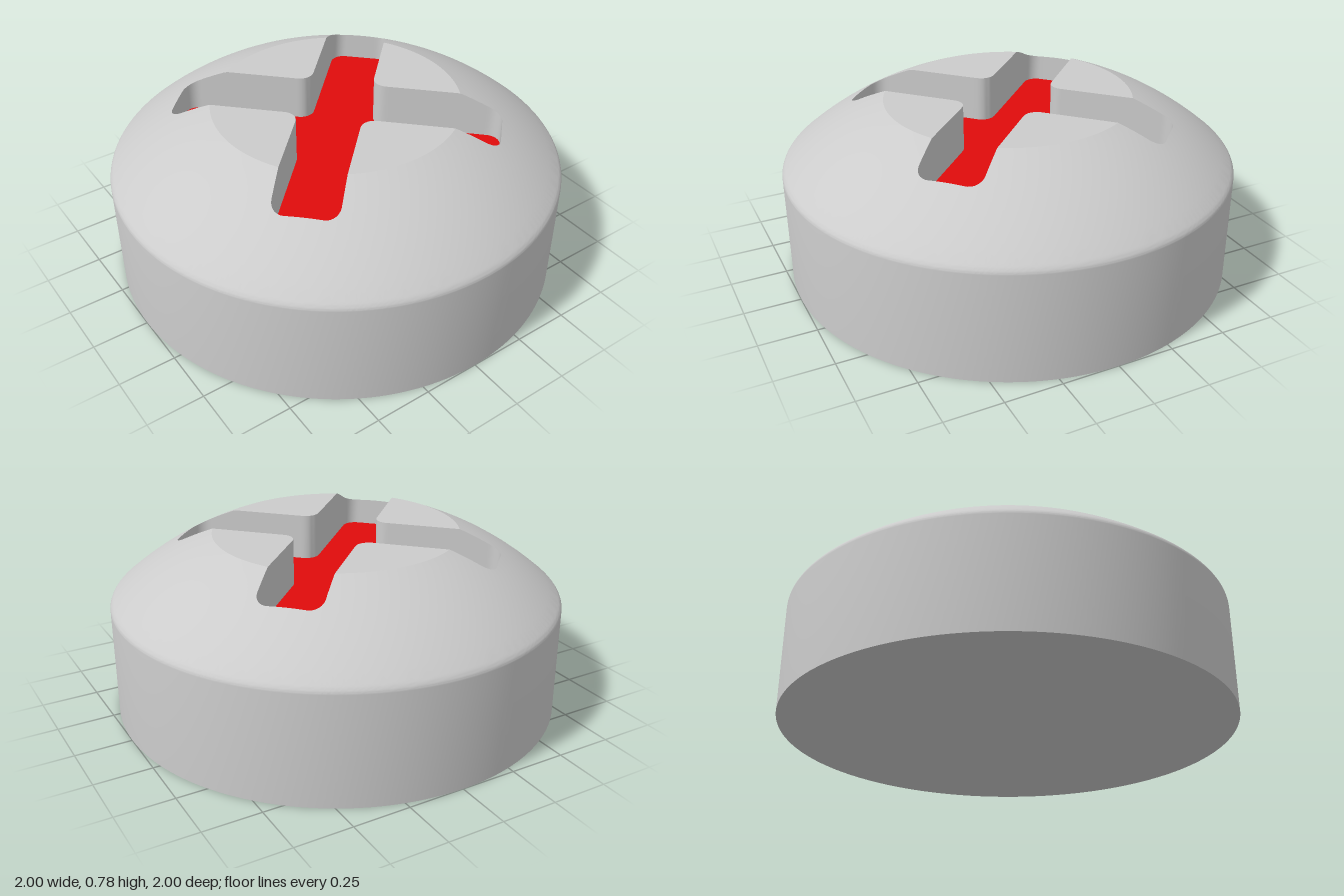
import * as THREE from 'three';
import { toCreasedNormals } from 'three/addons/utils/BufferGeometryUtils.js';

const TOP = 0.78, FLOOR = 0.575, FLAT_R = 0.545, SPHERE_R = 1.5;
const SPHERE_Y = TOP - Math.sqrt(SPHERE_R ** 2 - FLAT_R ** 2);
const domeHeight = (r) => Math.min(TOP, SPHERE_Y + Math.sqrt(SPHERE_R ** 2 - r * r));

// Four-armed cross with rounded tips and rounded inner corners
function crossOutline() {
  const length = 0.72, half = 0.138, r = 0.06;
  const shape = new THREE.Shape();
  for (let i = 0; i < 4; i++) {
    const a = Math.PI / 4 + i * Math.PI / 2, c = Math.cos(a), s = Math.sin(a);
    const arc = (u, v, from, to, clockwise) =>
      shape.absarc(u * c - v * s, u * s + v * c, r, a + from, a + to, clockwise);
    arc(length - r, r - half, -Math.PI / 2, 0, false);
    arc(length - r, half - r, 0, Math.PI / 2, false);
    arc(half + r, half + r, Math.PI * 1.5, Math.PI, true);
  }
  shape.closePath();
  return shape.getSpacedPoints(400).slice(0, -1);
}

// Skin a list of closed rings, skipping collapsed triangles
function loft(rings, crease) {
  const pos = [];
  const tri = (a, b, c) => {
    if (a.distanceTo(b) > 1e-6 && b.distanceTo(c) > 1e-6 && c.distanceTo(a) > 1e-6) {
      for (const p of [a, b, c]) pos.push(p.x, p.y, p.z);
    }
  };
  for (let k = 0; k < rings.length - 1; k++) {
    const lower = rings[k], upper = rings[k + 1], n = lower.length;
    for (let i = 0; i < n; i++) {
      const j = (i + 1) % n;
      tri(lower[i], upper[i], lower[j]);
      tri(upper[i], upper[j], lower[j]);
    }
  }
  const geometry = new THREE.BufferGeometry();
  geometry.setAttribute('position', new THREE.Float32BufferAttribute(pos, 3));
  return toCreasedNormals(geometry, crease);
}

export function createModel() {
  const group = new THREE.Group();
  const grey = new THREE.MeshStandardMaterial({ color: 0xcccccc });
  const red = new THREE.MeshStandardMaterial({ color: 0xe00b0b });
  const add = (name, geometry, material) => {
    const mesh = new THREE.Mesh(geometry, material);
    mesh.name = name;
    group.add(mesh);
  };

  const outline = crossOutline();
  const edge = outline.map((p) => ({ r: p.length(), a: Math.atan2(p.y, p.x) }));
  const point = (r, y, a) => new THREE.Vector3(r * Math.cos(a), y, -r * Math.sin(a));
  const ring = (r, y) => edge.map((e) => point(r, y, e.a));

  // Flat top and dome around the cross opening; rings never enter the slot
  const radii = [0, FLAT_R];
  for (let i = 1; i <= 10; i++) radii.push(FLAT_R + (0.98 - FLAT_R) * i / 10);
  const shell = radii.map((radius) => edge.map((e) => {
    const r = Math.max(radius, e.r);
    return point(r, domeHeight(r), e.a);
  }));

  // Softened shoulder, side wall and underside
  const shoulder = new THREE.QuadraticBezierCurve(
    new THREE.Vector2(0.98, domeHeight(0.98)),
    new THREE.Vector2(1, domeHeight(1)),
    new THREE.Vector2(1, 0.485));
  for (const p of shoulder.getPoints(6).slice(1)) shell.push(ring(p.x, p.y));
  shell.push(ring(1, 0), ring(0, 0));
  add('domedBody', loft(shell, 0.3), grey);

  // Upright walls of the cross slot
  const walls = [
    edge.map((e) => point(e.r, FLOOR, e.a)),
    edge.map((e) => point(e.r, domeHeight(e.r), e.a)),
  ];
  add('slotWalls', loft(walls, 0.5), grey);

  // Coloured slot floor
  const floor = new THREE.ShapeGeometry(new THREE.Shape(outline));
  floor.rotateX(-Math.PI / 2).translate(0, FLOOR, 0);
  add('slotFloor', floor, red);

  return group;
}
